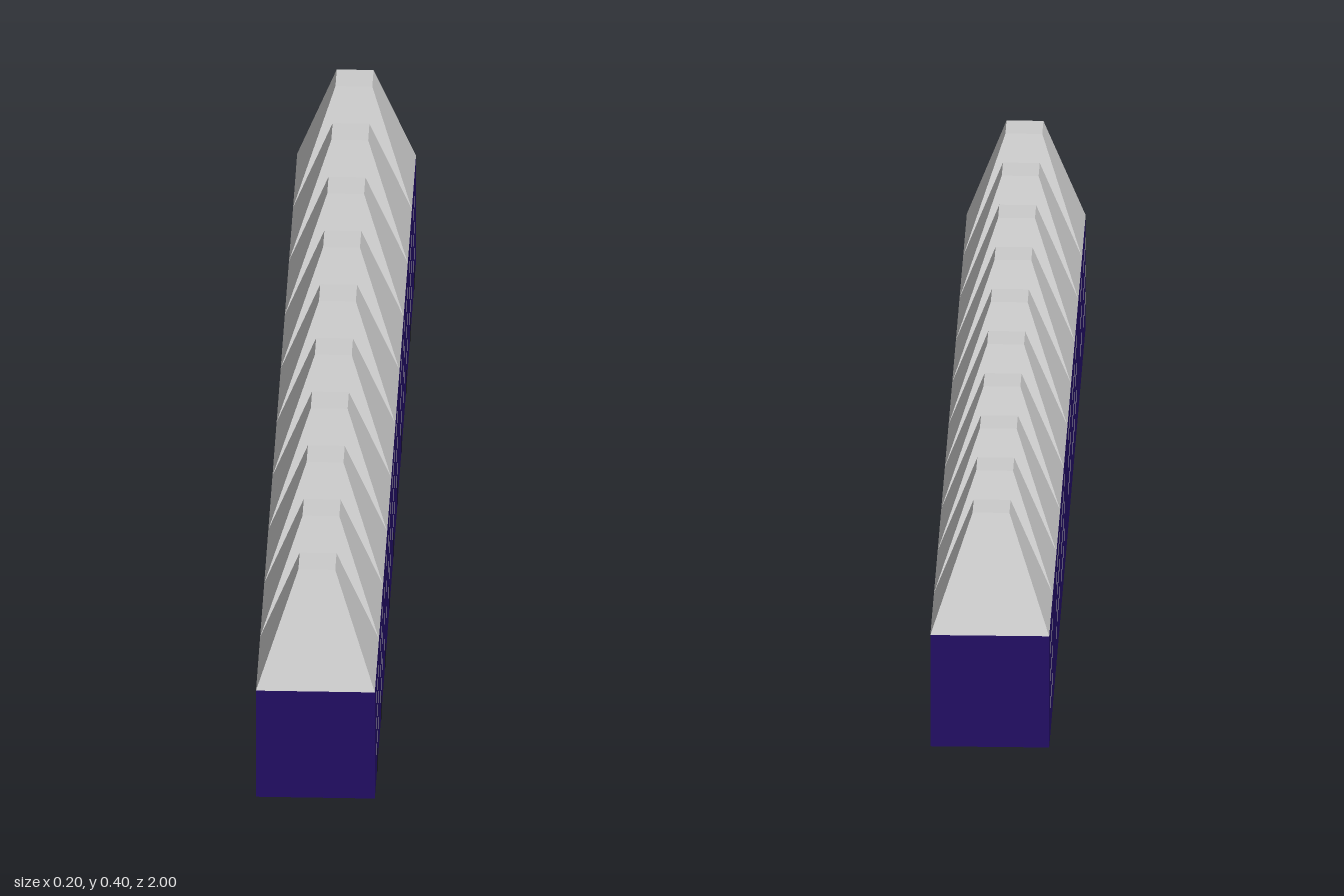
import * as THREE from 'three';

const HOUSES = 10;
const SIZE = 0.2;          // each house body is a cube
const ROOF_HEIGHT = 0.195;

const paint = (color) => new THREE.MeshStandardMaterial({ color, flatShading: true });

export function createModel() {
  const wallMat = paint(0x220d65);
  const greyMat = paint(0xcccccc);
  const doorMat = paint(0x0c0c0c);

  const bodyGeo = new THREE.BoxGeometry(SIZE, SIZE, SIZE);
  // Four-sided truncated pyramid, turned so its sides line up with the walls
  const roofGeo = new THREE.CylinderGeometry(0.031 * Math.SQRT2, 0.1 * Math.SQRT2, ROOF_HEIGHT, 4)
    .rotateY(Math.PI / 4);
  const windowGeo = new THREE.PlaneGeometry(0.022, 0.022);
  const doorGeo = new THREE.PlaneGeometry(0.026, 0.045);

  const add = (parent, name, geo, mat, x, y, z, turn = 0) => {
    const mesh = new THREE.Mesh(geo, mat);
    mesh.name = name;
    mesh.position.set(x, y, z);
    mesh.rotation.y = turn;
    parent.add(mesh);
  };

  const row = new THREE.Group();
  row.name = 'terraceOfHouses';

  for (let i = 0; i < HOUSES; i++) {
    const house = new THREE.Group();
    house.name = `house${i + 1}`;
    house.position.z = (i - (HOUSES - 1) / 2) * SIZE;

    add(house, 'walls', bodyGeo, wallMat, 0, SIZE / 2, 0);
    add(house, 'roof', roofGeo, greyMat, 0, SIZE + ROOF_HEIGHT / 2, 0);

    // Three by three windows on both long sides, just proud of the wall
    for (const side of [1, -1]) {
      for (const y of [0.067, 0.116, 0.165]) {
        for (const z of [-0.057, 0, 0.057]) {
          add(house, 'window', windowGeo, greyMat, side * 0.1006, y, z, side * Math.PI / 2);
        }
      }
    }

    // Doors only on the +x side
    add(house, 'door', doorGeo, doorMat, 0.1006, 0.0225, 0, Math.PI / 2);
    row.add(house);
  }
  return row;
}
